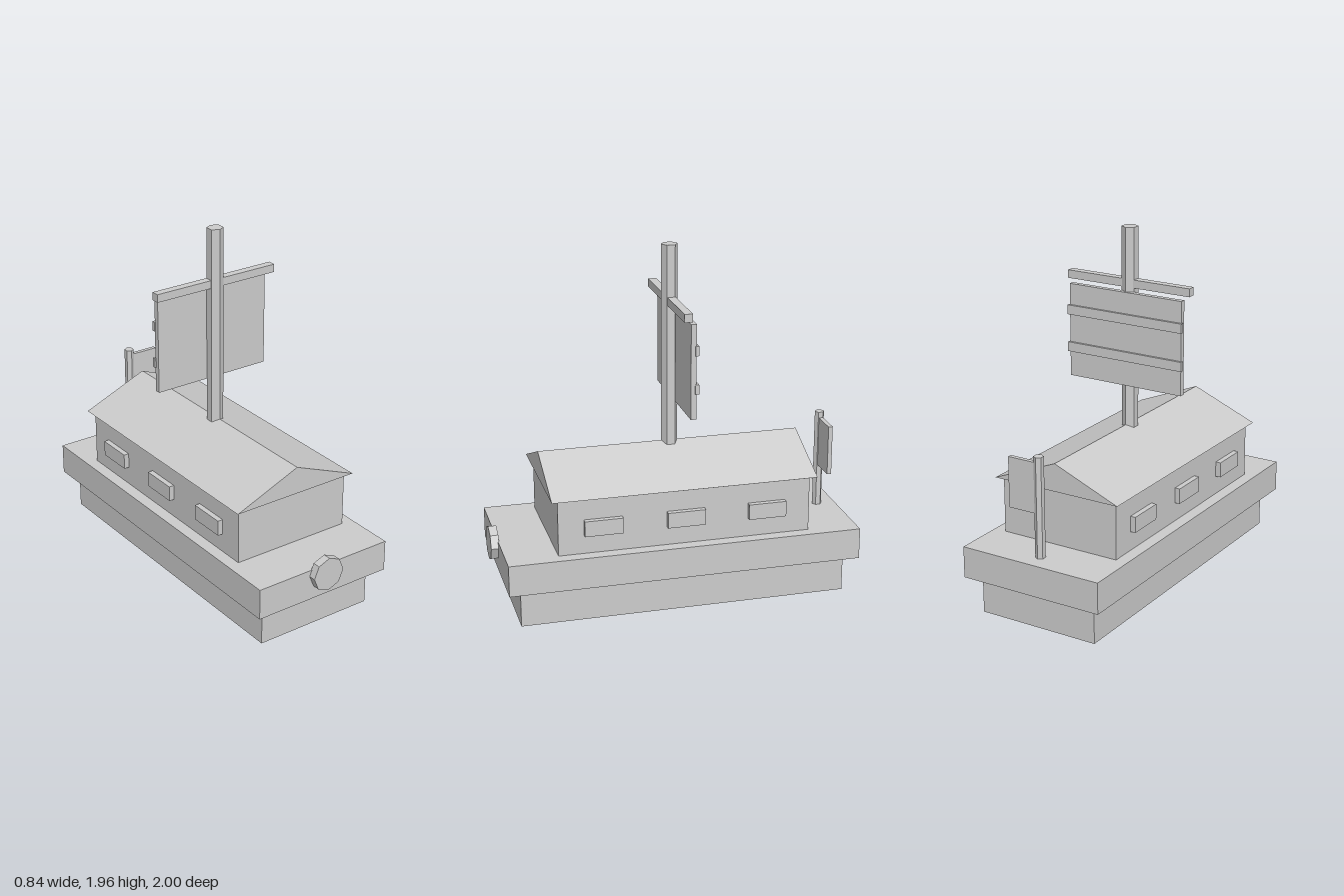
import * as THREE from 'three';

const MID = -0.02; // z of the hull's middle

export function createModel() {
  const model = new THREE.Group();
  const material = new THREE.MeshStandardMaterial({ color: 0xcccccc, flatShading: true });

  const add = (name, geometry, x, y, z) => {
    const mesh = new THREE.Mesh(geometry, material);
    mesh.name = name;
    mesh.position.set(x, y, z);
    model.add(mesh);
    return mesh;
  };
  const box = (name, w, h, d, x, y, z) => add(name, new THREE.BoxGeometry(w, h, d), x, y, z);
  // Six-sided pole standing between two heights
  const pole = (name, r, y0, y1, z) =>
    add(name, new THREE.CylinderGeometry(r, r, y1 - y0, 6), 0, (y0 + y1) / 2, z);

  // Hull, deck and cabin
  box('hull', 0.7, 0.215, 1.82, 0, 0.1075, MID);
  box('deck', 0.836, 0.175, 1.96, 0, 0.3, MID);
  box('cabin', 0.7, 0.32, 1.4, 0, 0.545, MID);

  // Gabled roof
  const gable = new THREE.Shape([
    new THREE.Vector2(-0.38, 0.703),
    new THREE.Vector2(0.38, 0.703),
    new THREE.Vector2(0, 0.858),
  ]);
  const roof = new THREE.ExtrudeGeometry(gable, { depth: 1.47, bevelEnabled: false });
  add('roof', roof, 0, 0, MID - 0.735);

  // Three windows on each side
  for (const side of [-1, 1]) {
    for (const offset of [-0.455, 0, 0.455]) {
      box('window', 0.06, 0.087, 0.21, side * 0.35, 0.537, MID + offset);
    }
  }

  // Mast with yard, sail and battens behind it
  pole('mast', 0.045, 0.8, 1.96, MID);
  box('yard', 0.76, 0.045, 0.045, 0, 1.653, MID - 0.003);
  box('sail', 0.7, 0.522, 0.03, 0, 1.349, -0.06);
  for (const y of [1.255, 1.465]) box('batten', 0.715, 0.053, 0.02, 0, y, -0.078);

  // Eight-sided disc on the bow
  const disc = add('bowDisc', new THREE.CylinderGeometry(0.096, 0.096, 0.045, 8), 0, 0.353, 0.9775);
  disc.rotation.x = Math.PI / 2;

  // Flag at the stern
  pole('flagPole', 0.027, 0.38, 0.945, -0.895);
  box('flag', 0.18, 0.28, 0.024, 0.09, 0.772, -0.897);

  return model;
}
